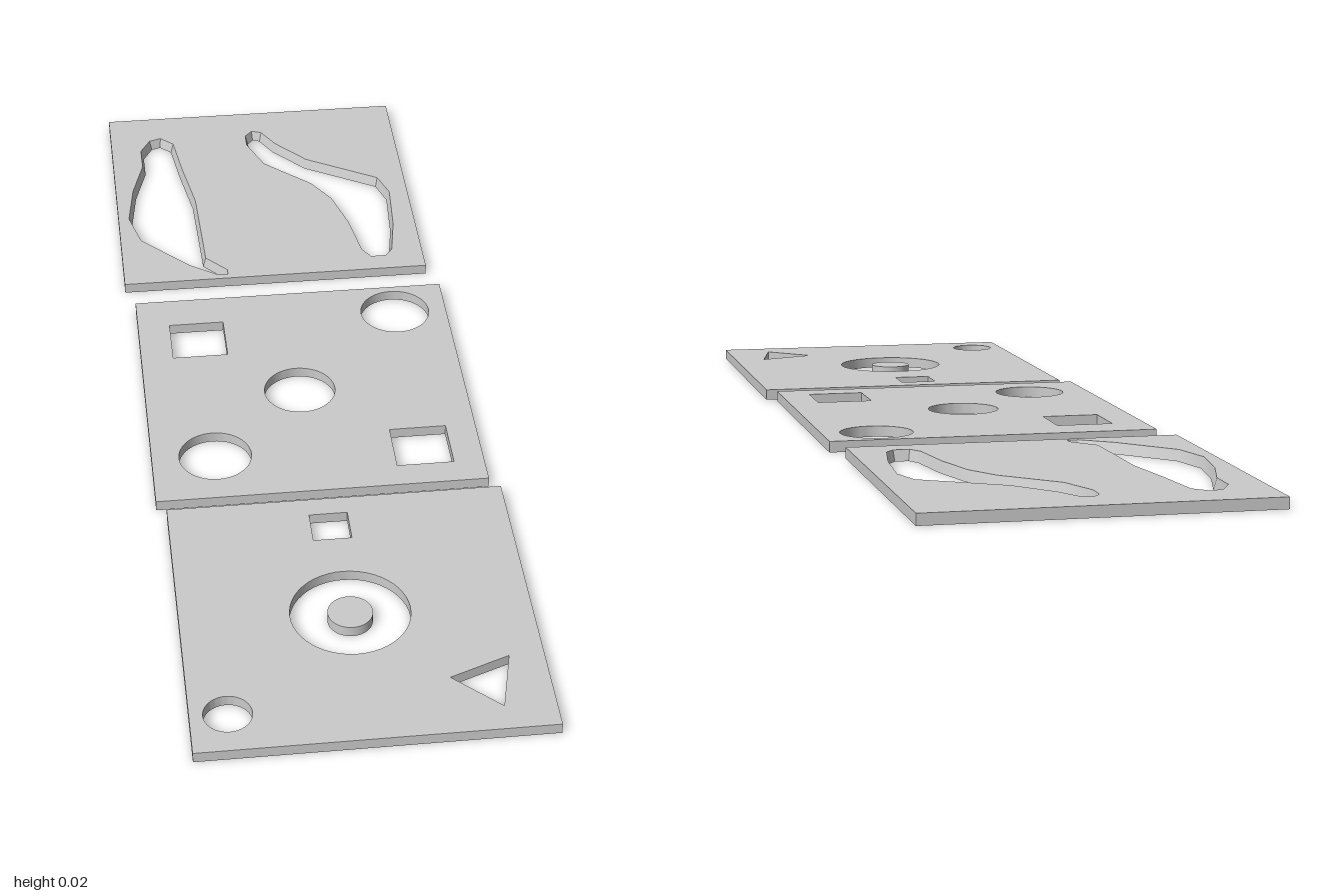
import * as THREE from 'three';
import { toCreasedNormals } from 'three/addons/utils/BufferGeometryUtils.js';

const SIZE = 0.635; // side of each square plate
const H = 0.021; // thickness
const INSET = 0.006; // how far the long slots narrow towards the underside

// Plan coordinates are [x, z]
const polygon = (points) => new THREE.Path(points.map(([x, z]) => new THREE.Vector2(x, z)));
const circle = (x, z, r) => new THREE.Path().absarc(x, z, r, 0, Math.PI * 2, true);
const square = (x, z, s) => polygon([
  [x - s / 2, z - s / 2], [x + s / 2, z - s / 2], [x + s / 2, z + s / 2], [x - s / 2, z + s / 2],
]);

// Square plate with holes, lying flat with its underside on the ground
function plateGeometry(cx, cz, holes) {
  const shape = new THREE.Shape(square(cx, cz, SIZE).getPoints());
  shape.holes.push(...holes);
  const geometry = new THREE.ExtrudeGeometry(shape, { depth: H, bevelEnabled: false, curveSegments: 24 });
  return geometry.rotateX(Math.PI / 2).translate(0, H, 0);
}

// Moves the lower rim of a clockwise-in-plan slot inwards, giving sloping walls
function taperSlot(geometry, points) {
  const n = points.length;
  const position = geometry.attributes.position;
  const targets = points.map(([x, z], i) => {
    const [ax, az] = points[(i + n - 1) % n];
    const [bx, bz] = points[(i + 1) % n];
    const length = Math.hypot(bx - ax, bz - az);
    return [x - (bz - az) / length * INSET, z + (bx - ax) / length * INSET];
  });
  for (let v = 0; v < position.count; v++) {
    if (position.getY(v) > H / 2) continue;
    const i = points.findIndex(([x, z]) => Math.hypot(x - position.getX(v), z - position.getZ(v)) < 1e-4);
    if (i >= 0) position.setXYZ(v, targets[i][0], position.getY(v), targets[i][1]);
  }
}

export function createModel() {
  const model = new THREE.Group();
  const material = new THREE.MeshStandardMaterial({ color: 0xcccccc });
  const add = (name, geometry) => {
    const mesh = new THREE.Mesh(geometry, material);
    mesh.name = name;
    model.add(mesh);
    return mesh;
  };

  // Rear plate: two long, bent slots
  const leftSlot = [
    [-0.25, -0.91], [-0.225, -0.918], [-0.198, -0.892], [-0.186, -0.79], [-0.166, -0.66],
    [-0.161, -0.442], [-0.119, -0.395], [-0.119, -0.379], [-0.14, -0.379], [-0.198, -0.421],
    [-0.293, -0.522], [-0.314, -0.606], [-0.299, -0.712], [-0.272, -0.807], [-0.272, -0.87],
  ];
  const rightSlot = [
    [-0.018, -0.926], [0.003, -0.918], [0.029, -0.87], [0.092, -0.797], [0.24, -0.707],
    [0.259, -0.649], [0.251, -0.527], [0.235, -0.432], [0.219, -0.411], [0.188, -0.411],
    [0.172, -0.437], [0.156, -0.543], [0.13, -0.638], [0.092, -0.701], [-0.003, -0.791],
    [-0.034, -0.87], [-0.034, -0.907],
  ];
  const rear = plateGeometry(-0.019, -0.6825, [polygon(leftSlot), polygon(rightSlot)]);
  taperSlot(rear, leftSlot);
  taperSlot(rear, rightSlot);
  add('rearPlate', toCreasedNormals(rear, 0.6));

  // Middle plate: three round and two square holes
  add('middlePlate', toCreasedNormals(plateGeometry(-0.001, 0.022, [
    circle(0.211, -0.21, 0.07), circle(-0.012, 0.029, 0.07), circle(-0.196, 0.216, 0.07),
    square(-0.199, -0.157, 0.11), square(0.203, 0.228, 0.11),
  ]), 0.6));

  // Front plate: square, round and triangular holes, and a large central hole
  add('frontPlate', toCreasedNormals(plateGeometry(0.0175, 0.6825, [
    square(0, 0.445, 0.072), circle(0.008, 0.681, 0.109), circle(-0.233, 0.913, 0.043),
    polygon([[0.272, 0.823], [0.161, 0.866], [0.243, 0.945]]),
  ]), 0.6));

  // Loose disc in the middle of the large hole
  add('centreDisc', new THREE.CylinderGeometry(0.041, 0.041, H, 48)).position.set(0.008, H / 2, 0.681);

  return model;
}
